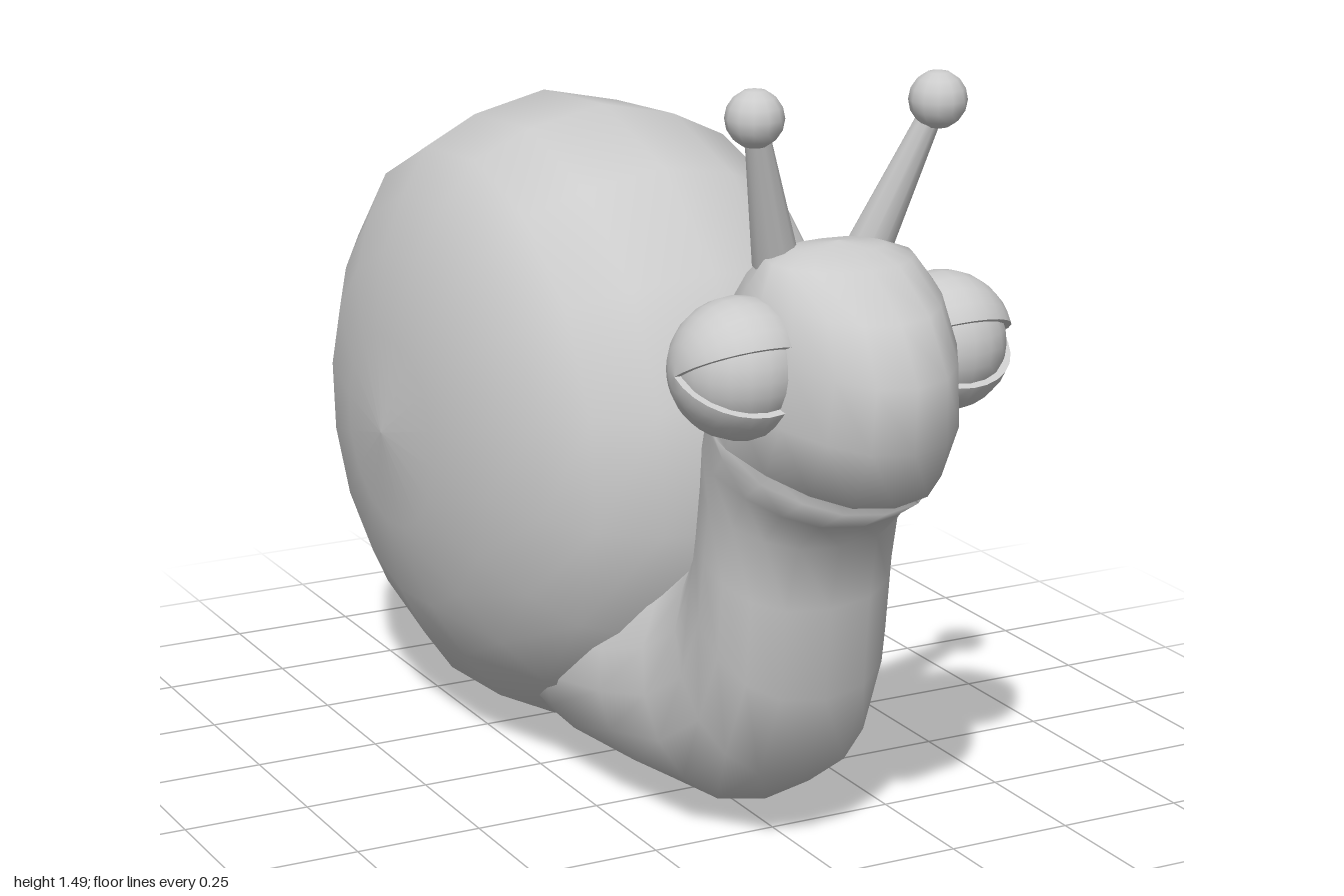
import * as THREE from 'three';

const mat = new THREE.MeshStandardMaterial({ color: 0xcccccc, side: THREE.DoubleSide });

function add(parent, name, geometry) {
  const mesh = new THREE.Mesh(geometry, mat);
  mesh.name = name;
  parent.add(mesh);
  return mesh;
}

// Closed rings from tail to crown: [front/under z, y, back/upper z, y, half width, front narrowing]
const RINGS = [
  [-0.995, 0.225, -0.995, 0.225, 0, 0],
  [-0.975, 0.19, -0.965, 0.265, 0.045, 0],
  [-0.89, 0.145, -0.88, 0.295, 0.09, 0],
  [-0.65, 0.09, -0.62, 0.30, 0.12, 0],
  [-0.40, 0.08, -0.40, 0.30, 0.19, 0],
  [-0.20, 0.045, -0.15, 0.32, 0.235, 0],
  [0.05, 0.04, 0.02, 0.38, 0.26, 0],
  [0.30, 0.045, 0.20, 0.44, 0.245, 0],
  [0.47, 0.055, 0.30, 0.49, 0.215, 0],
  [0.62, 0.155, 0.37, 0.53, 0.195, 0],
  [0.695, 0.33, 0.41, 0.60, 0.19, 0],
  [0.71, 0.51, 0.435, 0.67, 0.19, 0],
  [0.745, 0.64, 0.455, 0.76, 0.195, 0.1],
  [0.82, 0.70, 0.47, 0.86, 0.21, 0.2],
  [0.90, 0.745, 0.476, 0.89, 0.213, 0.25], // lower lip
  [0.84, 0.80, 0.479, 0.905, 0.214, 0.25], // mouth crease
  [0.93, 0.765, 0.482, 0.92, 0.216, 0.25], // upper lip
  [0.995, 0.88, 0.49, 0.98, 0.215, 0.25],
  [1.0, 1.0, 0.515, 1.08, 0.20, 0.25],
  [0.94, 1.10, 0.57, 1.145, 0.175, 0.2],
  [0.84, 1.175, 0.62, 1.18, 0.14, 0.1],
  [0.78, 1.195, 0.66, 1.195, 0.09, 0],
  [0.72, 1.205, 0.72, 1.205, 0, 0],
];

function bodyGeometry(sides = 16) {
  const pos = [], index = [];
  RINGS.forEach(([fz, fy, bz, by, w, k], i) => {
    for (let j = 0; j < sides; j++) {
      const t = (j / sides) * Math.PI * 2;
      const c = Math.cos(t), s = Math.sin(t);
      const x = w * Math.sign(s) * Math.abs(s) ** 0.8 * (1 - k * Math.max(c, 0));
      pos.push(x, (fy + by) / 2 + (c * (fy - by)) / 2, (fz + bz) / 2 + (c * (fz - bz)) / 2);
      if (i === RINGS.length - 1) continue;
      const a = i * sides + j, b = i * sides + ((j + 1) % sides);
      index.push(a, b, a + sides, b, b + sides, a + sides);
    }
  });
  const g = new THREE.BufferGeometry();
  g.setAttribute('position', new THREE.Float32BufferAttribute(pos, 3));
  g.setIndex(index);
  g.computeVertexNormals();
  return g;
}

// Faceted egg-shaped shell, its axis running side to side
function shellGeometry() {
  const half = [[0.3, 0.435], [0.55, 0.398], [0.72, 0.34], [0.86, 0.275], [0.945, 0.16]];
  const profile = [
    [0, -0.455], ...half.map(([r, x]) => [r, -x]), [1, 0], ...half.slice().reverse(), [0, 0.455],
  ].map(([r, x]) => new THREE.Vector2(r, x));
  const g = new THREE.LatheGeometry(profile, 16);
  g.rotateZ(-Math.PI / 2);
  g.rotateX(THREE.MathUtils.degToRad(7));
  g.scale(1, 0.642, 0.7);
  return g;
}

// Eyeball wrapped by a lid with a wedge-shaped opening at the front
function buildEye(side) {
  const eye = new THREE.Group();
  eye.name = side > 0 ? 'leftEye' : 'rightEye';
  const R = 0.129, r = 0.117, gap = 0.5;
  add(eye, 'eyeball', new THREE.SphereGeometry(r, 20, 14));
  const steps = 20, arc = [];
  for (let i = 0; i <= 14; i++) {
    const a = (i / 14) * Math.PI;
    arc.push(new THREE.Vector2(R * Math.sin(a), -R * Math.cos(a)));
  }
  const lid = new THREE.LatheGeometry(arc, steps, gap, Math.PI * 2 - 2 * gap);
  lid.rotateZ(Math.PI / 2);
  add(eye, 'eyelid', lid);
  // rims closing the lid thickness
  for (const s of [1, -1]) {
    const rim = new THREE.RingGeometry(r - 0.004, R, 14, 1, 0, Math.PI);
    rim.rotateX(Math.PI / 2 - s * gap);
    add(eye, s > 0 ? 'upperLidRim' : 'lowerLidRim', rim);
  }
  eye.position.set(side * 0.208, 1.0, 0.738);
  return eye;
}

function buildFeeler(side) {
  const feeler = new THREE.Group();
  feeler.name = side > 0 ? 'leftFeeler' : 'rightFeeler';
  const base = new THREE.Vector3(side * 0.095, 1.165, 0.662);
  const tip = new THREE.Vector3(side * 0.185, 1.446, 0.745);
  const dir = tip.clone().sub(base);
  const stalk = add(feeler, 'stalk', new THREE.CylinderGeometry(0.02, 0.043, dir.length(), 10));
  stalk.position.copy(base).addScaledVector(dir, 0.5);
  stalk.quaternion.setFromUnitVectors(new THREE.Vector3(0, 1, 0), dir.clone().normalize());
  add(feeler, 'feelerTip', new THREE.SphereGeometry(0.053, 12, 8)).position.copy(tip);
  return feeler;
}

export function createModel() {
  const snail = new THREE.Group();
  snail.name = 'snail';
  add(snail, 'body', bodyGeometry());
  add(snail, 'shell', shellGeometry()).position.set(0, 0.645, -0.295);
  for (const side of [1, -1]) snail.add(buildEye(side), buildFeeler(side));
  return snail;
}
